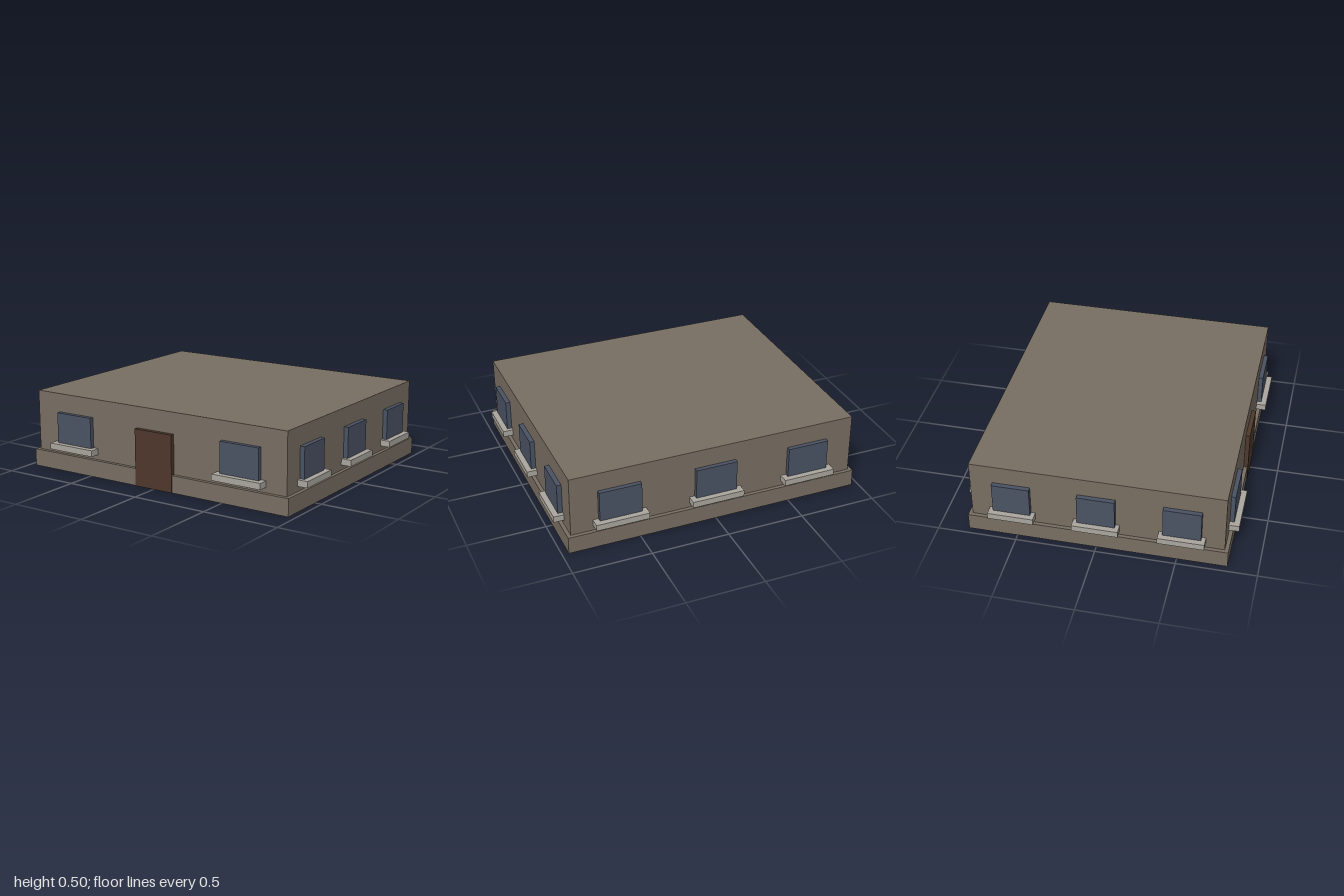
import * as THREE from 'three';

const mat = (name, color) => {
  const m = new THREE.MeshStandardMaterial({ color });
  m.name = name;
  return m;
};

export function createModel() {
  const stone = mat('stone', 0x786e62);
  const glass = mat('glass', 0x4a5263);
  const sillStone = mat('pale stone', 0xaaa69e);
  const wood = mat('dark wood', 0x4e372b);

  const building = new THREE.Group();
  building.name = 'building';

  // Box given by its size, centre x/z and bottom height
  const box = (parent, name, material, w, h, d, x, y, z) => {
    const mesh = new THREE.Mesh(new THREE.BoxGeometry(w, h, d), material);
    mesh.name = name;
    mesh.position.set(x, y + h / 2, z);
    parent.add(mesh);
  };

  // Main block and wider plinth
  box(building, 'walls', stone, 1.868, 0.5, 1.576, 0, 0, 0);
  box(building, 'plinth', stone, 1.916, 0.11, 1.624, 0, 0, 0);

  // Window pane with a projecting sill; local +z points out of the wall
  const addWindow = (side, offset, paneWidth, sillWidth) => {
    const group = new THREE.Group();
    group.name = 'window';
    group.position.x = offset;
    box(group, 'pane', glass, paneWidth, 0.2, 0.03, 0, 0.18, 0.015);
    box(group, 'sill', sillStone, sillWidth, 0.04, 0.066, 0, 0.143, 0.033);
    side.add(group);
  };

  // Each side: rotation, wall distance, window offsets, pane and sill widths
  const sides = [
    ['frontSide', 0, 0.786, [-0.623, 0.623], 0.27, 0.34],
    ['leftSide', Math.PI / 2, 0.934, [-0.528, 0, 0.528], 0.235, 0.287],
    ['backSide', Math.PI, 0.786, [-0.623, 0, 0.623], 0.27, 0.34],
    ['rightSide', -Math.PI / 2, 0.934, [-0.528, 0, 0.528], 0.235, 0.287],
  ];
  for (const [name, angle, distance, offsets, paneWidth, sillWidth] of sides) {
    const side = new THREE.Group();
    side.name = name;
    side.rotation.y = angle;
    side.position.set(Math.sin(angle) * distance, 0, Math.cos(angle) * distance);
    for (const offset of offsets) addWindow(side, offset, paneWidth, sillWidth);
    building.add(side);
  }

  // Front door
  box(building, 'door', wood, 0.274, 0.364, 0.03, 0, 0, 0.801);

  return building;
}
